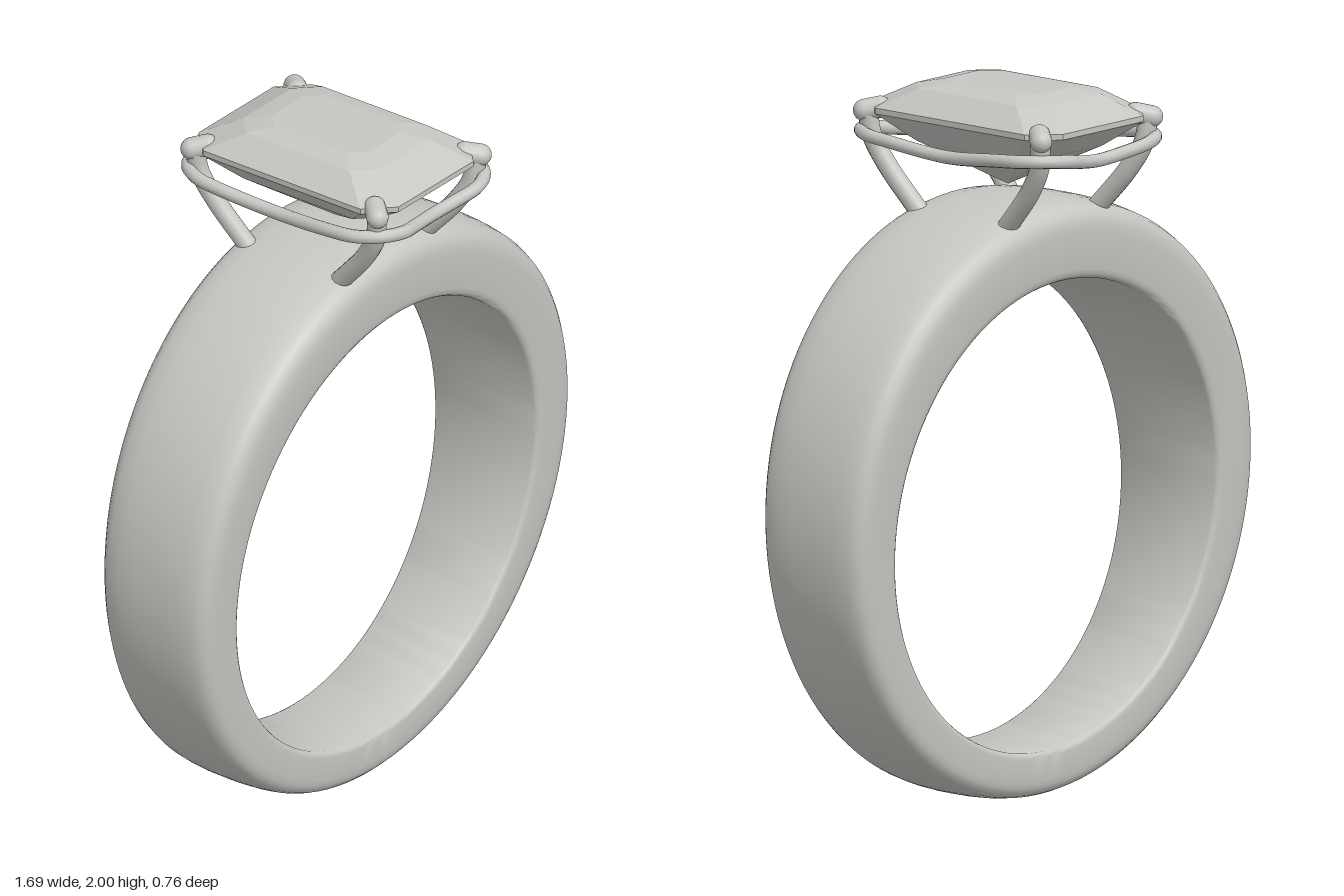
import * as THREE from 'three';
import { toCreasedNormals } from 'three/addons/utils/BufferGeometryUtils.js';

const silver = new THREE.MeshStandardMaterial({ color: 0xc8c6c2 });
silver.name = 'silverGrey';

function part(name, geometry, parent) {
  const mesh = new THREE.Mesh(geometry, silver);
  mesh.name = name;
  parent.add(mesh);
  return mesh;
}

const curve = (pts, closed = false) =>
  new THREE.CatmullRomCurve3(pts.map((p) => new THREE.Vector3(...p)), closed);

// Band: a domed section swept round, wider and thicker towards the top
function bandGeometry() {
  // [share of half width, share of thickness from the inside out]
  const half = [[0.93, 0], [0.965, 0.02], [0.99, 0.06], [1, 0.12], [1, 0.6], [0.985, 0.72],
    [0.95, 0.81], [0.88, 0.885], [0.77, 0.935], [0.55, 0.975], [0.28, 0.995]];
  const section = [...half.map(([z, t]) => [-z, t]), [0, 1], ...half.slice().reverse()];
  const n = section.length, steps = 128, pos = [], idx = [];
  for (let i = 0; i < steps; i++) {
    const a = (i / steps) * Math.PI * 2, s = Math.sin(a), c = Math.cos(a);
    for (const [z, t] of section) {
      const r = THREE.MathUtils.lerp(0.667, 0.845, t);
      const y = THREE.MathUtils.lerp(0.803, 0.845, t) + r * c;
      pos.push(r * s, y, z * (0.143 + 0.05 * y));
    }
    const next = ((i + 1) % steps) * n;
    for (let j = 0; j < n; j++) {
      const k = (j + 1) % n;
      idx.push(i * n + j, i * n + k, next + j, i * n + k, next + k, next + j);
    }
  }
  const g = new THREE.BufferGeometry();
  g.setAttribute('position', new THREE.Float32BufferAttribute(pos, 3));
  g.setIndex(idx);
  return toCreasedNormals(g, 0.7);
}

// Emerald-cut stone: stacked octagons, [half x, half z, corner cut, y]
function stoneGeometry() {
  const levels = [[0, 0, 0, 2], [0.115, 0.17, 0.045, 2], [0.17, 0.24, 0.06, 1.985],
    [0.243, 0.35, 0.075, 1.928], [0.243, 0.35, 0.075, 1.912],
    [0.17, 0.245, 0.055, 1.838], [0, 0, 0, 1.715]];
  const rings = levels.map(([x, z, c, y]) => [[c - x, z], [x - c, z], [x, z - c], [x, c - z],
    [x - c, -z], [c - x, -z], [-x, c - z], [-x, z - c]].map(([px, pz]) => [px, y, pz]));
  const pos = [];
  for (let i = 0; i < rings.length - 1; i++) {
    const u = rings[i], l = rings[i + 1];
    for (let k = 0; k < 8; k++) {
      const m = (k + 1) % 8;
      if (levels[i][0] > 0) pos.push(...u[k], ...l[k], ...u[m]);
      if (levels[i + 1][0] > 0) pos.push(...l[k], ...l[m], ...u[m]);
    }
  }
  const g = new THREE.BufferGeometry();
  g.setAttribute('position', new THREE.Float32BufferAttribute(pos, 3));
  g.computeVertexNormals();
  return g;
}

export function createModel() {
  const ring = new THREE.Group();
  ring.name = 'ring';
  part('band', bandGeometry(), ring);
  part('stone', stoneGeometry(), ring);

  // Four claws, each a bent wire with a bead leaning over the stone's corner
  for (const sx of [1, -1]) {
    for (const sz of [1, -1]) {
      const claw = new THREE.Group();
      claw.name = 'claw';
      const path = curve([[0.182, 1.61, 0.13], [0.19, 1.67, 0.185], [0.203, 1.76, 0.262],
        [0.216, 1.84, 0.308], [0.225, 1.912, 0.318]].map(([x, y, z]) => [sx * x, y, sz * z]));
      part('clawWire', new THREE.TubeGeometry(path, 24, 0.028, 12), claw);
      const bead = part('clawTip', new THREE.CapsuleGeometry(0.031, 0.045, 8, 14), claw);
      bead.position.set(sx * 0.216, 1.918, sz * 0.309);
      bead.quaternion.setFromUnitVectors(new THREE.Vector3(0, 1, 0),
        new THREE.Vector3(-sx * 0.66, 0.2, -sz * 0.72).normalize());
      ring.add(claw);
    }
  }

  // Wavy gallery wire looping round the claws
  const quarter = [[0.277, 1.85, 0.2], [0.272, 1.856, 0.275], [0.235, 1.858, 0.335],
    [0.165, 1.852, 0.364], [0.09, 1.838, 0.35]];
  const mirror = (sx, sz) => quarter.map(([x, y, z]) => [sx * x, y, sz * z]);
  const loop = [[0.258, 1.83, 0], ...mirror(1, 1), [0, 1.828, 0.337], ...mirror(-1, 1).reverse(),
    [-0.258, 1.83, 0], ...mirror(-1, -1), [0, 1.828, -0.337], ...mirror(1, -1).reverse()];
  part('galleryWire', new THREE.TubeGeometry(curve(loop, true), 144, 0.019, 10, true), ring);

  return ring;
}
